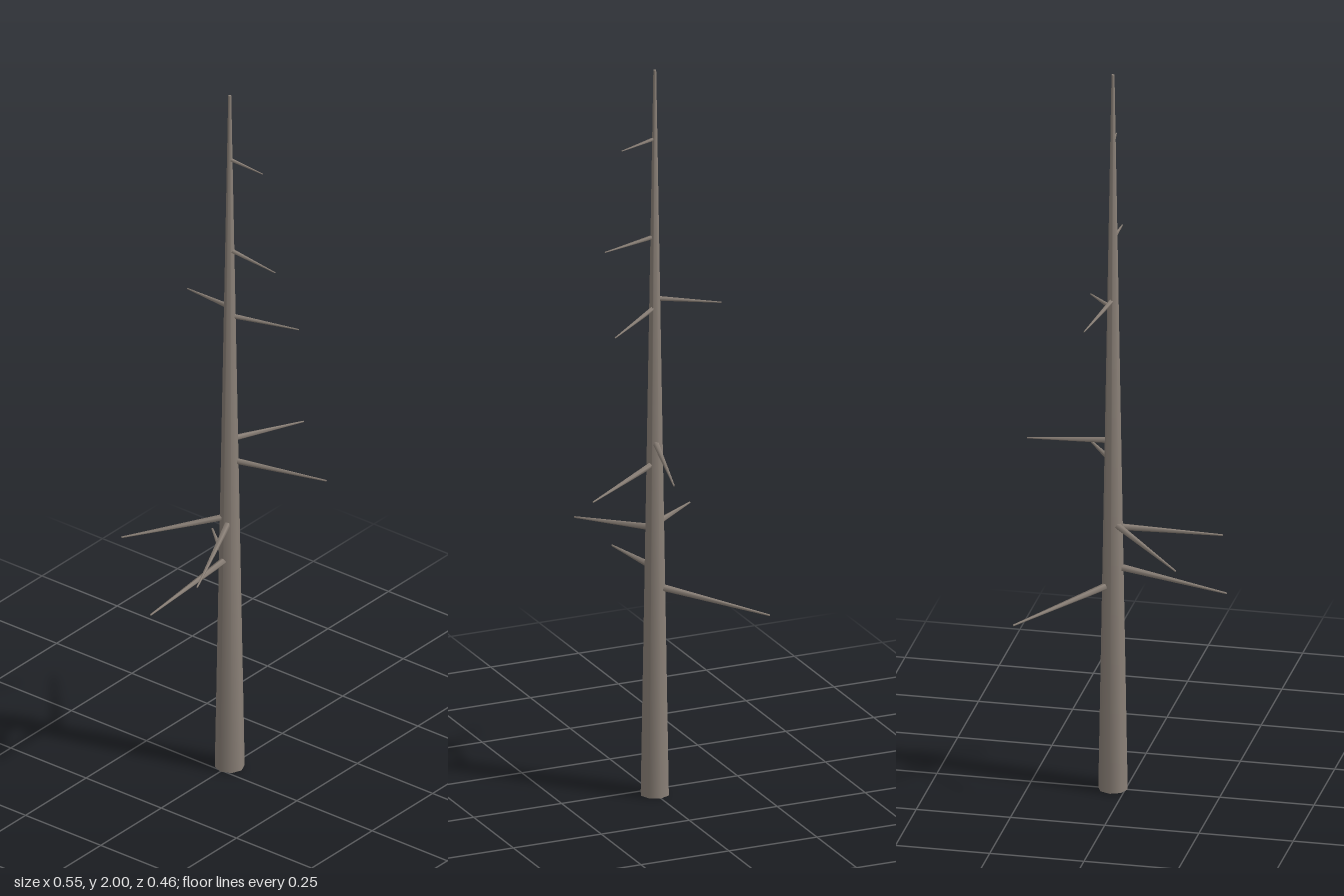
import * as THREE from 'three';

const TRUNK_X = 0.033, HEIGHT = 2, BASE_R = 0.039, TOP_R = 0.004;

// Branches: root height, then tip x, y, z
const BRANCHES = [
  [0.575, 0.247, 0.53, -0.23],
  [0.625, -0.273, 0.58, -0.017],
  [0.735, -0.235, 0.69, 0.107],
  [0.745, -0.175, 0.705, -0.193],
  [0.915, 0.15, 0.88, 0.228],
  [0.975, 0.272, 0.94, 0.053],
  [1.345, 0.127, 1.315, 0.155],
  [1.37, 0.072, 1.345, -0.172],
  [1.54, 0.04, 1.52, 0.145],
  [1.81, 0.046, 1.795, 0.1],
];

// Tapered rod between two points
function taperedRod(name, from, to, r0, r1, sides, material) {
  const dir = to.clone().sub(from);
  const mesh = new THREE.Mesh(new THREE.CylinderGeometry(r1, r0, dir.length(), sides), material);
  mesh.name = name;
  mesh.position.copy(from).add(to).multiplyScalar(0.5);
  mesh.quaternion.setFromUnitVectors(new THREE.Vector3(0, 1, 0), dir.normalize());
  return mesh;
}

export function createModel() {
  const model = new THREE.Group();
  model.name = 'deadTree';
  const bark = new THREE.MeshStandardMaterial({ color: 0x8b8178 });

  // Straight tapering trunk
  model.add(taperedRod('trunk', new THREE.Vector3(TRUNK_X, 0, 0),
    new THREE.Vector3(TRUNK_X, HEIGHT, 0), BASE_R, TOP_R, 8, bark));

  // Bare, slightly drooping branches, thinner and shorter towards the top
  const branches = new THREE.Group();
  branches.name = 'branches';
  BRANCHES.forEach(([rootY, x, y, z], i) => {
    const root = new THREE.Vector3(TRUNK_X, rootY, 0);
    const tip = new THREE.Vector3(x, y, z);
    const r = 0.0125 - 0.004 * rootY;
    branches.add(taperedRod(`branch${i + 1}`, root, tip, r, r * 0.25, 5, bark));
  });
  model.add(branches);
  return model;
}
